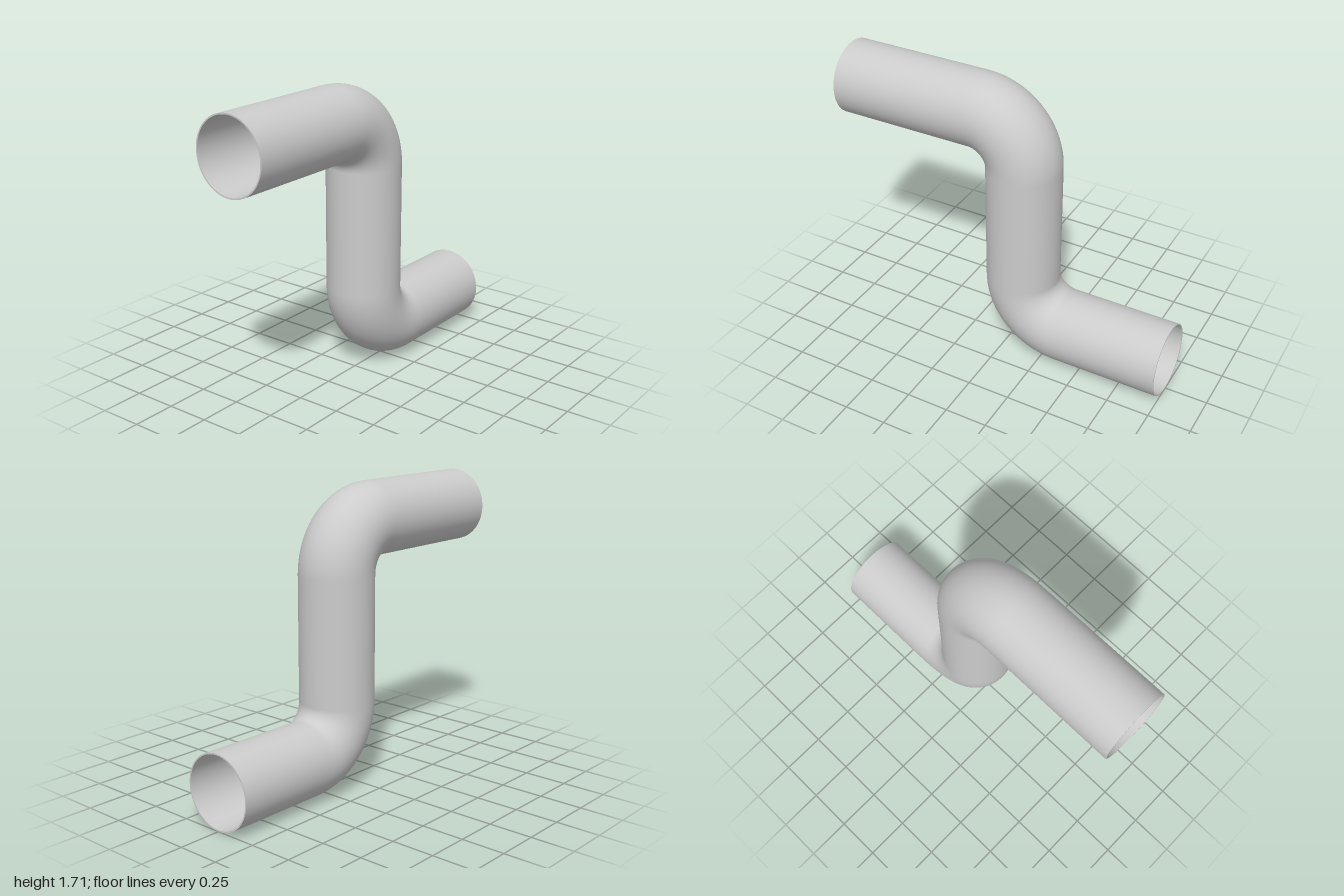
import * as THREE from 'three';

const OUTER = 0.2125, INNER = 0.2045; // pipe radii
const BEND = 0.28;                    // centre-line radius of both elbows
const LOW = OUTER, HIGH = 1.4925;     // heights of the two level runs
const RISER_Z = -0.081;
const SIDES = 72, ARC = 28;

// Centre-line stations: position (y, z) and downward pitch of the pipe
function stations() {
  const list = [{ y: HIGH, z: 1, a: 0 }];
  const elbow = (cy, cz, sign) => {
    for (let i = 0; i <= ARC; i++) {
      const t = (i / ARC) * Math.PI / 2;
      const a = sign > 0 ? t : Math.PI / 2 - t;
      list.push({ y: cy + sign * BEND * Math.cos(a), z: cz - sign * BEND * Math.sin(a), a });
    }
  };
  elbow(HIGH - BEND, RISER_Z + BEND, 1);
  elbow(LOW + BEND, RISER_Z - BEND, -1);
  list.push({ y: LOW, z: -1, a: 0 });
  return list;
}

// Sweeps a circle along the stations; inward = true makes the bore
function sweep(radius, inward) {
  const pos = [], nor = [], idx = [], path = stations(), row = SIDES + 1;
  const s = inward ? -1 : 1;
  path.forEach(({ y, z, a }, i) => {
    for (let j = 0; j <= SIDES; j++) {
      const th = (j / SIDES) * Math.PI * 2;
      const nx = Math.sin(th), ny = Math.cos(th) * Math.cos(a), nz = -Math.cos(th) * Math.sin(a);
      pos.push(radius * nx, y + radius * ny, z + radius * nz);
      nor.push(s * nx, s * ny, s * nz);
      if (i < path.length - 1 && j < SIDES) {
        const p = i * row + j, q = p + 1, u = p + row, v = u + 1;
        if (inward) idx.push(p, u, q, q, u, v);
        else idx.push(p, q, u, q, v, u);
      }
    }
  });
  const geo = new THREE.BufferGeometry();
  geo.setAttribute('position', new THREE.Float32BufferAttribute(pos, 3));
  geo.setAttribute('normal', new THREE.Float32BufferAttribute(nor, 3));
  geo.setIndex(idx);
  return geo;
}

export function createModel() {
  const group = new THREE.Group();
  group.name = 'offsetPipe';
  const material = new THREE.MeshStandardMaterial({ color: 0xcccccc });
  const add = (name, geo) => {
    const mesh = new THREE.Mesh(geo, material);
    mesh.name = name;
    group.add(mesh);
    return mesh;
  };

  // Pipe wall
  add('pipeOuterWall', sweep(OUTER, false));
  add('pipeInnerWall', sweep(INNER, true));

  // Flat rims closing the wall at both open ends
  const rim = new THREE.RingGeometry(INNER, OUTER, SIDES);
  add('upperRim', rim).position.set(0, HIGH, 1);
  const lower = add('lowerRim', rim);
  lower.position.set(0, LOW, -1);
  lower.rotation.y = Math.PI;

  return group;
}
